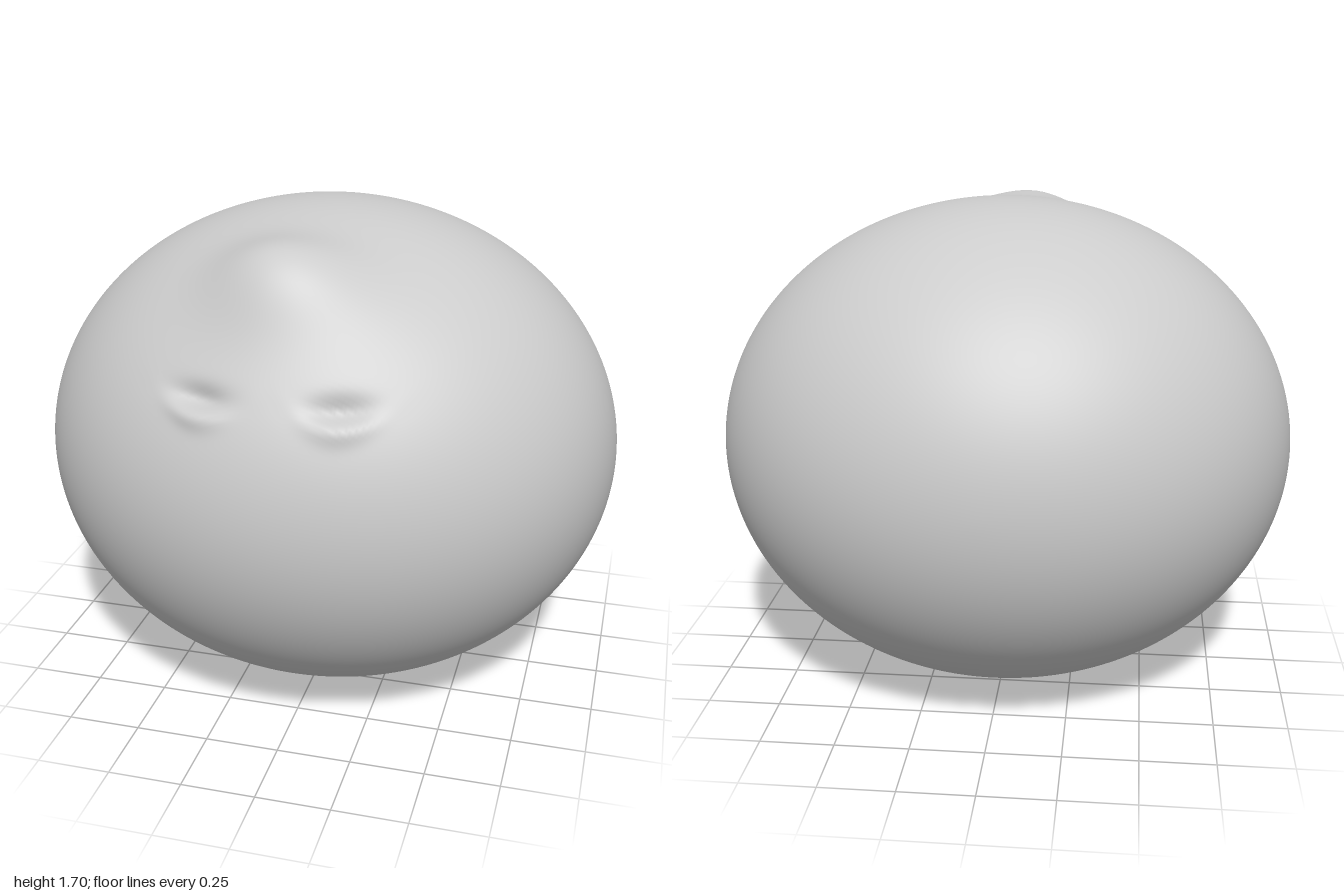
import * as THREE from 'three';
import { mergeVertices } from 'three/addons/utils/BufferGeometryUtils.js';

const RADII = new THREE.Vector3(1, 0.85, 0.9);
const bell = (d, width) => Math.exp(-0.5 * (d / width) ** 2);

// Height of the sculpted relief above the plain ellipsoid at point p
function relief(p) {
  if (p.z < 0) return 0;
  // Swollen brow, a little wider on one side and towards the face
  const dx = p.x + 0.04;
  const along = (p.z - 0.5) * 0.8 - (p.y - 1.56) * 0.6;
  let h = 0.1 * bell(dx, dx < 0 ? 0.15 : 0.18) * bell(along, along < 0 ? 0.115 : 0.135);
  // Closed eyes: a groove with a curved lower lid beneath it
  const ex = Math.abs(p.x) - 0.22;
  const lidY = 1.2 + 2.2 * ex * ex;
  h -= 0.032 * bell(ex, 0.065) * bell(p.y - 1.255, 0.023);
  h += 0.016 * bell(ex, 0.07) * bell(p.y - lidY, 0.022);
  return h;
}

function bodyGeometry() {
  // Sphere with its pole at the front, welded so the normals are smooth
  let geo = new THREE.SphereGeometry(1, 256, 144);
  geo.rotateX(Math.PI / 2);
  geo.deleteAttribute('uv');
  geo.deleteAttribute('normal');
  geo = mergeVertices(geo, 1e-5);

  const pos = geo.attributes.position;
  const p = new THREE.Vector3();
  const n = new THREE.Vector3();
  for (let i = 0; i < pos.count; i++) {
    p.fromBufferAttribute(pos, i);
    // Gather the rings towards the face for finer detail
    const polar = Math.acos(THREE.MathUtils.clamp(p.z, -1, 1));
    const azimuth = Math.atan2(p.y, p.x);
    const a = Math.PI * (polar / Math.PI) ** 1.5;
    p.set(Math.sin(a) * Math.cos(azimuth), Math.sin(a) * Math.sin(azimuth), Math.cos(a));
    // Squash to the ellipsoid and push out along its normal
    n.copy(p).divide(RADII).normalize();
    p.multiply(RADII);
    p.y += RADII.y;
    p.addScaledVector(n, relief(p));
    pos.setXYZ(i, p.x, p.y, p.z);
  }
  geo.computeVertexNormals();
  return geo;
}

export function createModel() {
  const group = new THREE.Group();
  group.name = 'roundHead';
  const grey = new THREE.MeshStandardMaterial({ color: 0xcccccc });
  grey.name = 'light grey';
  const body = new THREE.Mesh(bodyGeometry(), grey);
  body.name = 'body';
  group.add(body);
  return group;
}
